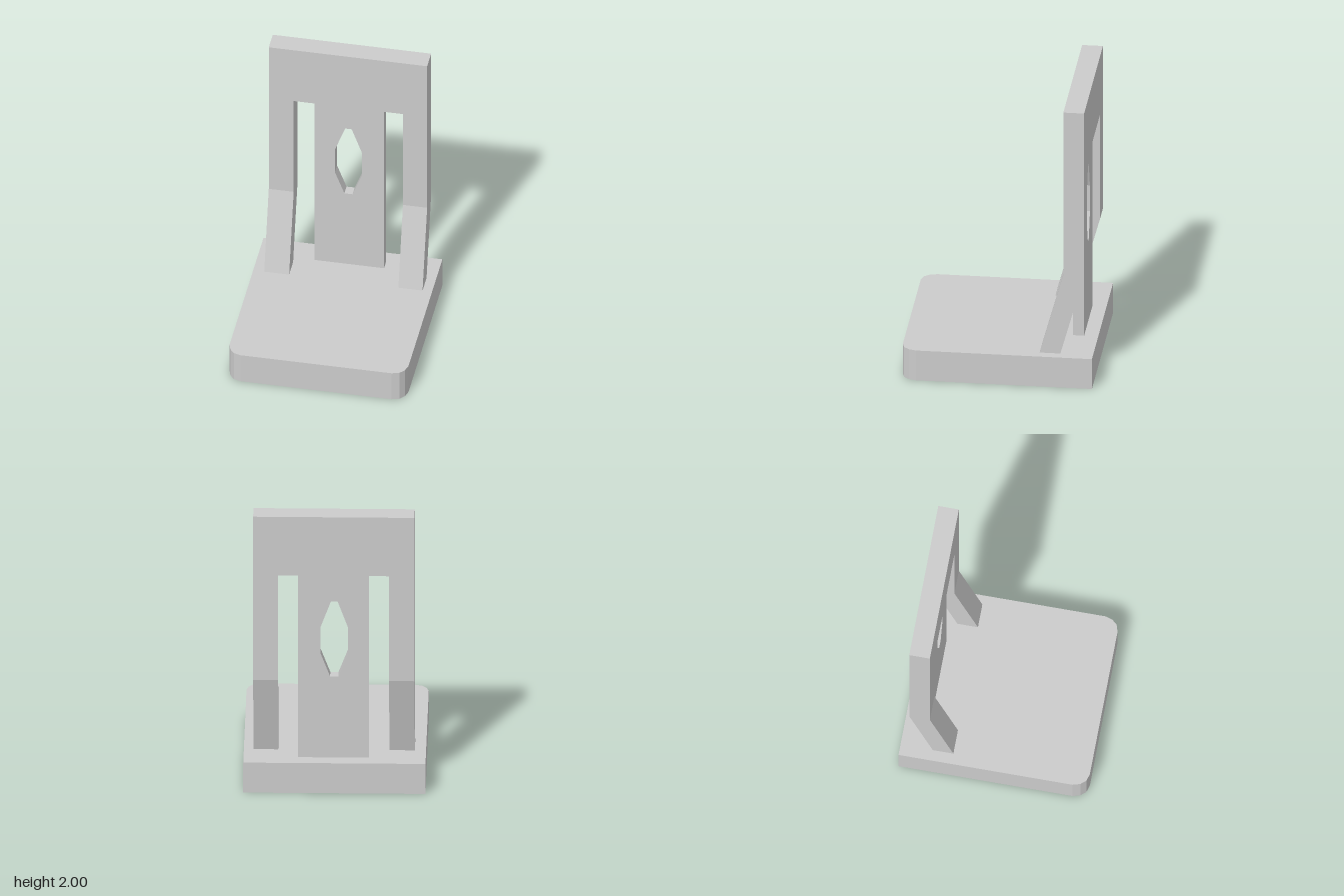
import * as THREE from 'three';

const material = new THREE.MeshStandardMaterial({ color: 0xcccccc, flatShading: true });
const points = (list) => list.map(([x, y]) => new THREE.Vector2(x, y));
const extrude = (shape, depth) => new THREE.ExtrudeGeometry(shape, { depth, bevelEnabled: false });

function add(group, name, geometry) {
  const mesh = new THREE.Mesh(geometry, material);
  mesh.name = name;
  group.add(mesh);
}

// Base outline in x and z: square back corners, chamfer-rounded front corners
function baseShape() {
  const corner = [[0.61, 0.54], [0.595, 0.59], [0.565, 0.625], [0.515, 0.64]];
  const mirrored = corner.map(([x, z]) => [-x, z]).reverse();
  return new THREE.Shape(points([[-0.61, -0.645], [0.61, -0.645], ...corner, ...mirrored]));
}

// Lays a plan shape flat, with its top at the given height
const slab = (shape, top, thickness) =>
  extrude(shape, thickness).rotateX(Math.PI / 2).translate(0, top, 0);

// Bent leg: side profile (z, y) extruded across x
function legGeometry(x0, x1) {
  const profile = [[-0.285, 0.22], [-0.425, 0.22], [-0.585, 0.8], [-0.585, 1.57], [-0.445, 1.57], [-0.445, 0.8]];
  const shape = new THREE.Shape(points(profile.map(([z, y]) => [-z, y])));
  return extrude(shape, x1 - x0).rotateY(Math.PI / 2).translate(x0, 0, 0);
}

export function createModel() {
  const model = new THREE.Group();
  model.name = 'uprightStand';

  // Base with a shallow rectangular recess underneath
  const base = new THREE.Group();
  base.name = 'base';
  const rim = baseShape();
  rim.holes.push(new THREE.Path(points([[-0.49, -0.525], [-0.49, 0.52], [0.49, 0.52], [0.49, -0.525]])));
  add(base, 'baseTop', slab(baseShape(), 0.22, 0.11));
  add(base, 'baseRim', slab(rim, 0.11, 0.11));
  model.add(base);

  // Frame: two bent legs joined by a header
  const frame = new THREE.Group();
  frame.name = 'frame';
  add(frame, 'rightLeg', legGeometry(-0.535, -0.365));
  add(frame, 'leftLeg', legGeometry(0.38, 0.545));
  add(frame, 'header', new THREE.BoxGeometry(1.08, 0.43, 0.14).translate(0.005, 1.785, -0.515));
  model.add(frame);

  // Centre panel with a tall eight-sided opening
  const panel = new THREE.Shape(points([[-0.23, 0.22], [0.245, 0.22], [0.245, 1.57], [-0.23, 1.57]]));
  panel.holes.push(new THREE.Path(points([
    [-0.02, 1.365], [0.025, 1.365], [0.095, 1.175], [0.095, 0.985],
    [0.03, 0.815], [-0.025, 0.815], [-0.09, 0.985], [-0.09, 1.175],
  ])));
  add(model, 'centrePanel', extrude(panel, 0.075).translate(0, 0, -0.55));

  return model;
}
